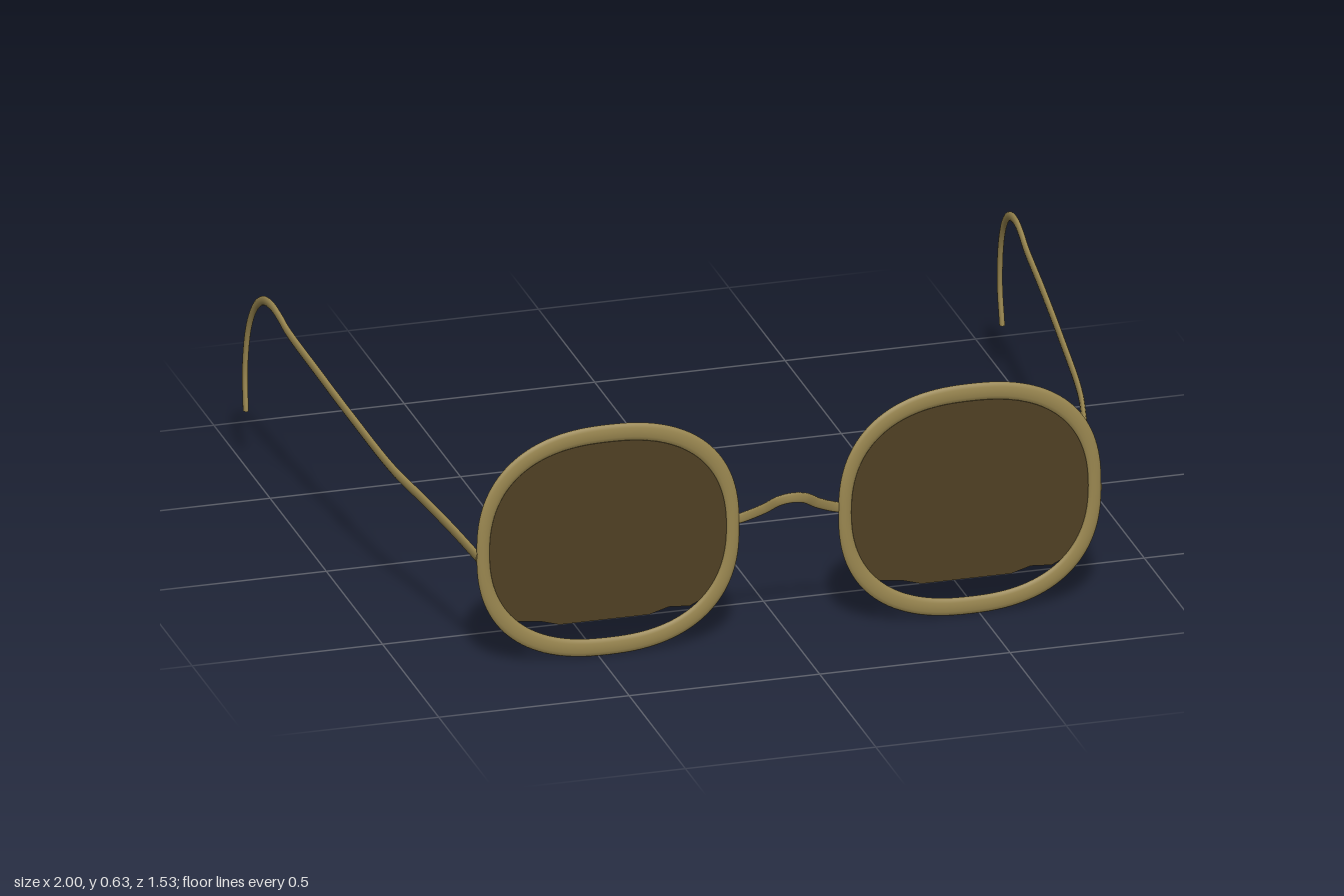
import * as THREE from 'three';

const gold = new THREE.MeshStandardMaterial({ color: 0x9a8750 });
gold.name = 'antique gold';
const tint = new THREE.MeshStandardMaterial({ color: 0x4f4023, side: THREE.DoubleSide });
tint.name = 'brown lens tint';

const V = (x, y, z) => new THREE.Vector3(x, y, z);
const LENS_X = 0.475, LENS_Y = 0.315, FRONT_Z = 0.727;

// Sweeps a flattened oval along a curve; thinAxis is the direction in which the wire is thin.
function sweepWire(curve, segments, thinAxis, halfThin, halfWide, closed = false) {
  const sides = 12, pos = [], nor = [], idx = [];
  const addRing = (i, capSign) => {
    const u = i / segments;
    const p = curve.getPoint(u), t = curve.getTangent(u);
    const b = thinAxis.clone().addScaledVector(t, -thinAxis.dot(t)).normalize();
    const n = b.clone().cross(t);
    const wide = halfWide(n, u);
    const start = pos.length / 3;
    for (let j = 0; j <= sides; j++) {
      const a = (j / sides) * Math.PI * 2, c = Math.cos(a), s = Math.sin(a);
      const q = p.clone().addScaledVector(n, wide * c).addScaledVector(b, halfThin * s);
      const m = capSign
        ? t.clone().multiplyScalar(capSign)
        : n.clone().multiplyScalar(c / wide).addScaledVector(b, s / halfThin).normalize();
      pos.push(q.x, q.y, q.z);
      nor.push(m.x, m.y, m.z);
    }
    return start;
  };
  for (let i = 0; i <= segments; i++) {
    const r = addRing(i, 0), next = r + sides + 1;
    if (i === segments) break;
    for (let j = 0; j < sides; j++) {
      idx.push(r + j, r + j + 1, next + j, r + j + 1, next + j + 1, next + j);
    }
  }
  // end caps
  if (!closed) {
    const a = addRing(0, -1), z = addRing(segments, 1);
    for (let j = 1; j < sides - 1; j++) {
      idx.push(a, a + j + 1, a + j, z, z + j, z + j + 1);
    }
  }
  const g = new THREE.BufferGeometry();
  g.setAttribute('position', new THREE.Float32BufferAttribute(pos, 3));
  g.setAttribute('normal', new THREE.Float32BufferAttribute(nor, 3));
  g.setIndex(idx);
  return g;
}

// Rounded, slightly squared oval used by both the rims and the lenses.
function ovalPoint(angle, a, b) {
  const f = (v) => Math.sign(v) * Math.abs(v) ** (2 / 2.4);
  return [a * f(Math.cos(angle)), b * f(Math.sin(angle))];
}

function rimGeometry() {
  const pts = [];
  for (let i = 0; i < 64; i++) {
    const [x, y] = ovalPoint((i / 64) * Math.PI * 2, 0.328, 0.29);
    pts.push(V(x, y, 0));
  }
  const curve = new THREE.CatmullRomCurve3(pts, true);
  // broader at the top and bottom than at the sides
  return sweepWire(curve, 128, V(0, 0, 1), 0.0075, (n) => 0.017 + 0.007 * Math.abs(n.y), true);
}

// Tinted lens, cut off above the lower rim with an uneven edge.
function lensGeometry() {
  const shape = new THREE.Shape();
  const from = -0.72, to = Math.PI + 0.72;
  for (let i = 0; i <= 64; i++) {
    const [x, y] = ovalPoint(from + ((to - from) * i) / 64, 0.318, 0.272);
    if (i === 0) shape.moveTo(x, y);
    else shape.lineTo(x, y);
  }
  const edge = [[-0.228, -0.197], [-0.175, -0.203], [-0.127, -0.217],
    [0.108, -0.217], [0.16, -0.202], [0.215, -0.206], [0.236, -0.196]];
  edge.forEach(([x, y]) => shape.lineTo(x, y));
  return new THREE.ShapeGeometry(shape);
}

// Ear piece with a gentle outward bow and a hooked end, for one side.
function templeGeometry(side) {
  const path = [
    [0.815, 0.305, 0.727], [0.838, 0.325, 0.58], [0.868, 0.347, 0.42], [0.9, 0.369, 0.27],
    [0.93, 0.408, 0], [0.952, 0.443, -0.24], [0.969, 0.473, -0.45],
    [0.973, 0.488, -0.5], [0.977, 0.498, -0.56], [0.98, 0.488, -0.625],
    [0.984, 0.448, -0.685], [0.988, 0.37, -0.733], [0.991, 0.25, -0.754], [0.993, 0.143, -0.74],
  ].map(([x, y, z]) => V(side * x, y, z));
  const curve = new THREE.CatmullRomCurve3(path, false, 'centripetal');
  return sweepWire(curve, 90, V(1, 0, 0), 0.007, (n, u) => 0.0155 - 0.005 * u);
}

// Arched nose bridge, bowed forward.
function bridgeGeometry() {
  const half = [[0.145, 0.328, 0.724], [0.115, 0.337, 0.729], [0.07, 0.358, 0.743], [0.035, 0.38, 0.756]];
  const path = [
    ...half.map(([x, y, z]) => V(-x, y, z)),
    V(0, 0.387, 0.761),
    ...half.slice().reverse().map(([x, y, z]) => V(x, y, z)),
  ];
  return sweepWire(new THREE.CatmullRomCurve3(path), 48, V(0, 0, 1), 0.003, () => 0.014);
}

export function createModel() {
  const model = new THREE.Group();
  model.name = 'spectacles';
  const add = (name, geometry, material) => {
    const mesh = new THREE.Mesh(geometry, material);
    mesh.name = name;
    model.add(mesh);
    return mesh;
  };

  const rim = rimGeometry(), lens = lensGeometry();
  for (const [label, side] of [['left', 1], ['right', -1]]) {
    add(label + 'Rim', rim, gold).position.set(side * LENS_X, LENS_Y, FRONT_Z);
    add(label + 'Lens', lens, tint).position.set(side * LENS_X, LENS_Y, FRONT_Z);
    add(label + 'Temple', templeGeometry(side), gold);
  }
  add('noseBridge', bridgeGeometry(), gold);
  return model;
}
